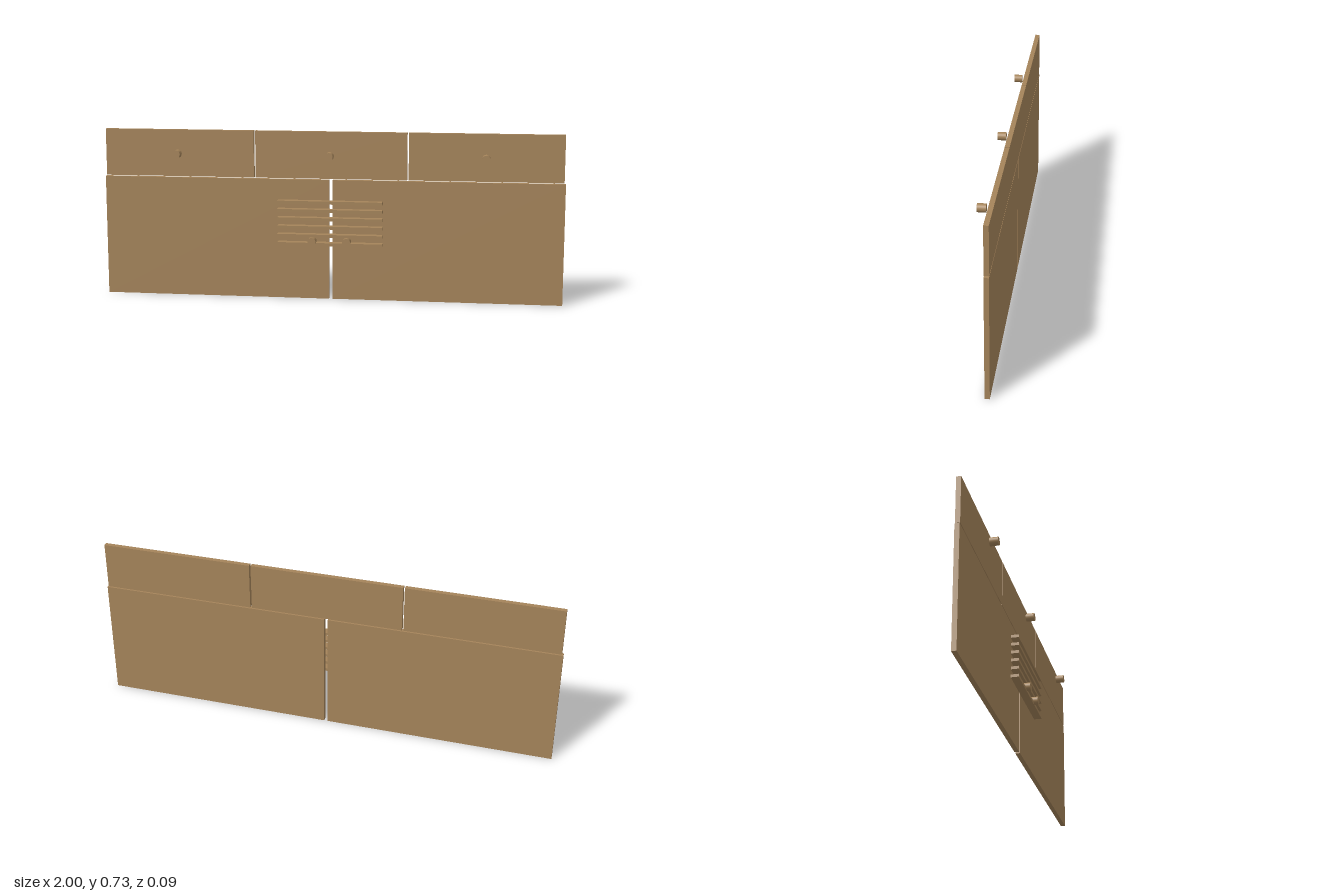
import * as THREE from 'three';

export function createModel() {
  const group = new THREE.Group();
  group.name = 'cabinetFront';
  const wood = new THREE.MeshStandardMaterial({ color: 0xa5845a });
  wood.name = 'wood';

  const add = (name, geometry, x, y, z) => {
    const mesh = new THREE.Mesh(geometry, wood);
    mesh.name = name;
    mesh.position.set(x, y, z);
    group.add(mesh);
  };

  // Two wide doors with a narrow gap between them
  const panelZ = -0.033, panelDepth = 0.02;
  const door = new THREE.BoxGeometry(0.992, 0.525, panelDepth);
  add('rightDoor', door, -0.504, 0.2625, panelZ);
  add('leftDoor', door, 0.504, 0.2625, panelZ);

  // Knobs: short round pegs pointing forward
  const knob = new THREE.CylinderGeometry(0.0175, 0.0175, 0.036, 24).rotateX(Math.PI / 2);
  const knobZ = 0.0255;
  add('rightDoorKnob', knob, -0.075, 0.264, knobZ);
  add('leftDoorKnob', knob, 0.075, 0.264, knobZ);

  // Row of three drawer fronts, each with a knob
  const drawer = new THREE.BoxGeometry(0.658, 0.204, panelDepth);
  ['right', 'middle', 'left'].forEach((side, i) => {
    const x = (i - 1) * 0.665;
    add(side + 'Drawer', drawer, x, 0.632, panelZ);
    add(side + 'DrawerKnob', knob, x, 0.633, knobZ);
  });

  // Horizontal vent slats in front of the doors
  const slat = new THREE.BoxGeometry(0.455, 0.013, 0.034);
  for (let i = 0; i < 6; i++) add('slat' + (i + 1), slat, 0, 0.25 + i * 0.0364, 0.008);

  return group;
}
